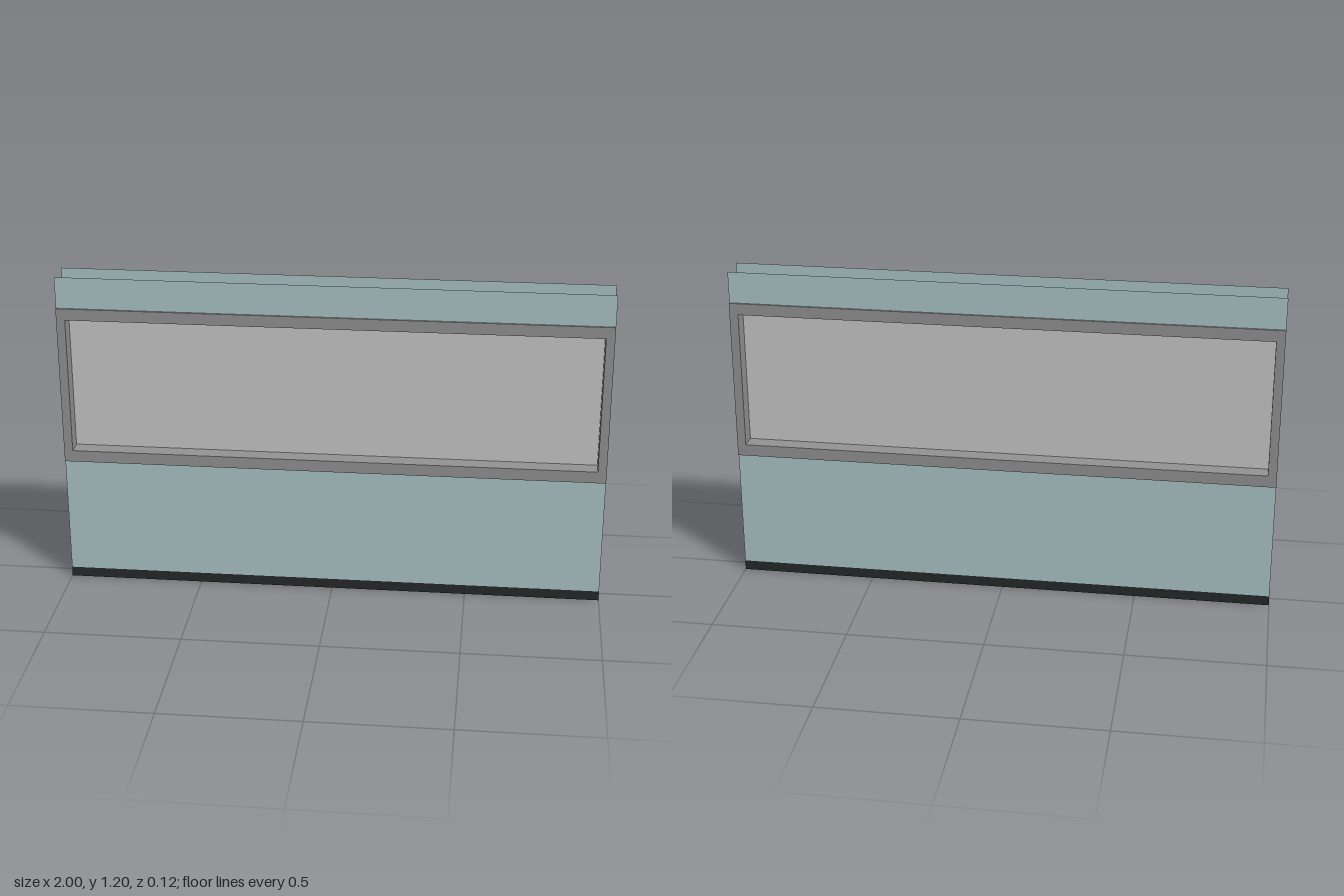
import * as THREE from 'three';

const frameGrey = new THREE.MeshStandardMaterial({ color: 0x949494 });
frameGrey.name = 'frameGrey';
const paneGrey = new THREE.MeshStandardMaterial({ color: 0xcacaca, side: THREE.DoubleSide });
paneGrey.name = 'paneGrey';
const wallTeal = new THREE.MeshStandardMaterial({ color: 0xadc8c9, side: THREE.DoubleSide });
wallTeal.name = 'wallTeal';
const skirtingBlack = new THREE.MeshStandardMaterial({ color: 0x26292b, side: THREE.DoubleSide });
skirtingBlack.name = 'skirtingBlack';

// Upright flat sheet between two heights
function sheet(name, width, y0, y1, z, material) {
  const mesh = new THREE.Mesh(new THREE.PlaneGeometry(width, y1 - y0), material);
  mesh.position.set(0, (y0 + y1) / 2, z);
  if (z < 0) mesh.rotation.y = Math.PI;
  mesh.name = name;
  return mesh;
}

function rectangle(path, x, y0, y1) {
  return path.moveTo(-x, y0).lineTo(x, y0).lineTo(x, y1).lineTo(-x, y1).closePath();
}

export function createModel() {
  const model = new THREE.Group();
  model.name = 'windowWall';
  const sill = 0.483, head = 1.083, depth = 0.124;

  // Window frame, slightly proud of both wall faces
  const outline = rectangle(new THREE.Shape(), 1, sill, head);
  outline.holes.push(rectangle(new THREE.Path(), 0.968, 0.527, 1.04));
  const frameGeometry = new THREE.ExtrudeGeometry(outline, { depth, bevelEnabled: false });
  frameGeometry.translate(0, 0, -depth / 2);
  const frame = new THREE.Mesh(frameGeometry, frameGrey);
  frame.name = 'windowFrame';
  model.add(frame);

  // Pane in the middle of the frame
  model.add(sheet('windowPane', 1.936, 0.527, 1.04, 0, paneGrey));

  // Thin wall faces with skirting, front and back
  for (const [side, z] of [['front', 0.055], ['back', -0.055]]) {
    const face = new THREE.Group();
    face.name = side + 'WallFace';
    face.add(
      sheet('skirting', 2, 0, 0.037, z, skirtingBlack),
      sheet('lowerWall', 2, 0.037, sill, z, wallTeal),
      sheet('upperWall', 2, head, 1.2, z, wallTeal)
    );
    model.add(face);
  }
  return model;
}
